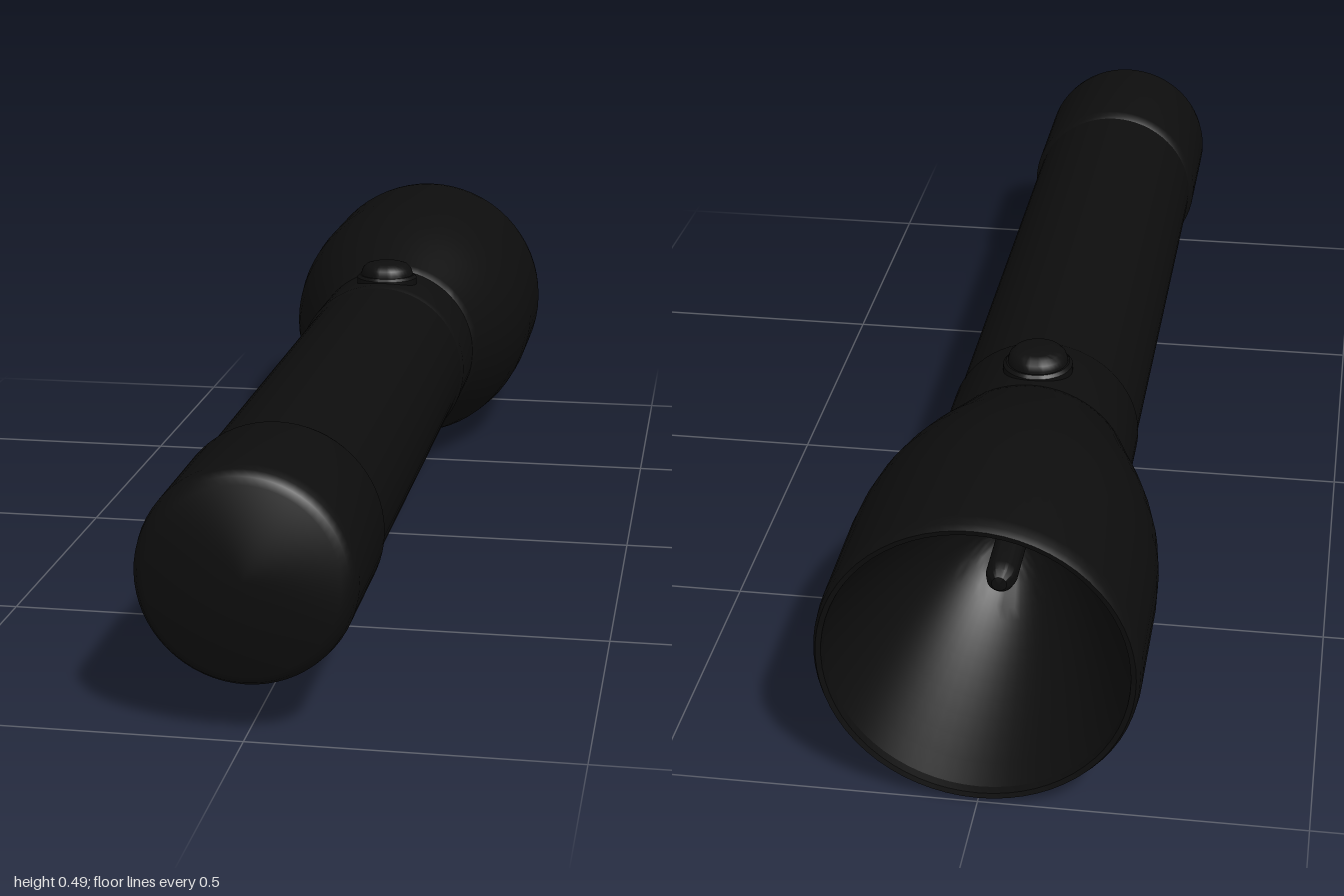
import * as THREE from 'three';
import { toCreasedNormals } from 'three/addons/utils/BufferGeometryUtils.js';

const AXIS_Y = 0.245; // height of the torch's long axis

export function createModel() {
  const torch = new THREE.Group();
  torch.name = 'flashlight';
  const black = new THREE.MeshStandardMaterial({ color: 0x0d0d0d, side: THREE.DoubleSide });
  black.name = 'black';

  // Turned part; the profile lists [radius, position along the axis]
  function turned(name, profile, segments = 64) {
    const points = profile.map(([r, a]) => new THREE.Vector2(r, a));
    const geometry = toCreasedNormals(new THREE.LatheGeometry(points, segments), 0.6);
    const mesh = new THREE.Mesh(geometry, black);
    mesh.name = name;
    torch.add(mesh);
    return mesh;
  }
  function alongZ(name, profile) {
    const mesh = turned(name, profile);
    mesh.geometry.rotateX(Math.PI / 2);
    mesh.position.y = AXIS_Y;
    return mesh;
  }

  // Flared head, rolled over at the open rim
  alongZ('head', [
    [0.228, -0.985], [0.23, -0.998], [0.238, -1], [0.243, -0.99], [0.245, -0.97],
    [0.245, -0.78], [0.242, -0.72], [0.234, -0.66], [0.221, -0.605], [0.204, -0.55],
    [0.184, -0.495], [0.17, -0.455], [0.163, -0.435], [0.157, -0.43],
  ]);

  // Reflector bowl inside the head
  const bowl = [];
  for (let i = 0; i <= 16; i++) {
    const r = 0.025 + (0.228 - 0.025) * (i / 16);
    bowl.push([r, -0.62 - 0.365 * (r / 0.228) ** 2]);
  }
  alongZ('reflector', bowl);

  // Bulb on the axis of the reflector
  alongZ('bulb', [
    [0, -0.78], [0.012, -0.777], [0.021, -0.766], [0.025, -0.75], [0.025, -0.61], [0, -0.61],
  ]);

  // Collar carrying the switch
  alongZ('collar', [[0.15, -0.445], [0.162, -0.44], [0.162, -0.285], [0.158, -0.275]]);

  // Straight grip
  alongZ('barrel', [[0.158, -0.29], [0.158, 0.74]]);

  // Tail cap with rounded end
  alongZ('tailCap', [
    [0.157, 0.715], [0.162, 0.722], [0.166, 0.735], [0.166, 0.965], [0.163, 0.982],
    [0.156, 0.994], [0.145, 1], [0, 1],
  ]);

  // Round push switch on top, with a low surround
  const seat = turned('switchSurround', [[0.058, 0.385], [0.058, 0.409], [0.053, 0.414], [0.046, 0.414]], 40);
  const button = turned('switchButton', [
    [0.05, 0.39], [0.05, 0.418], [0.047, 0.427], [0.04, 0.434], [0.03, 0.437], [0, 0.438],
  ], 40);
  seat.position.z = button.position.z = -0.36;

  return torch;
}
